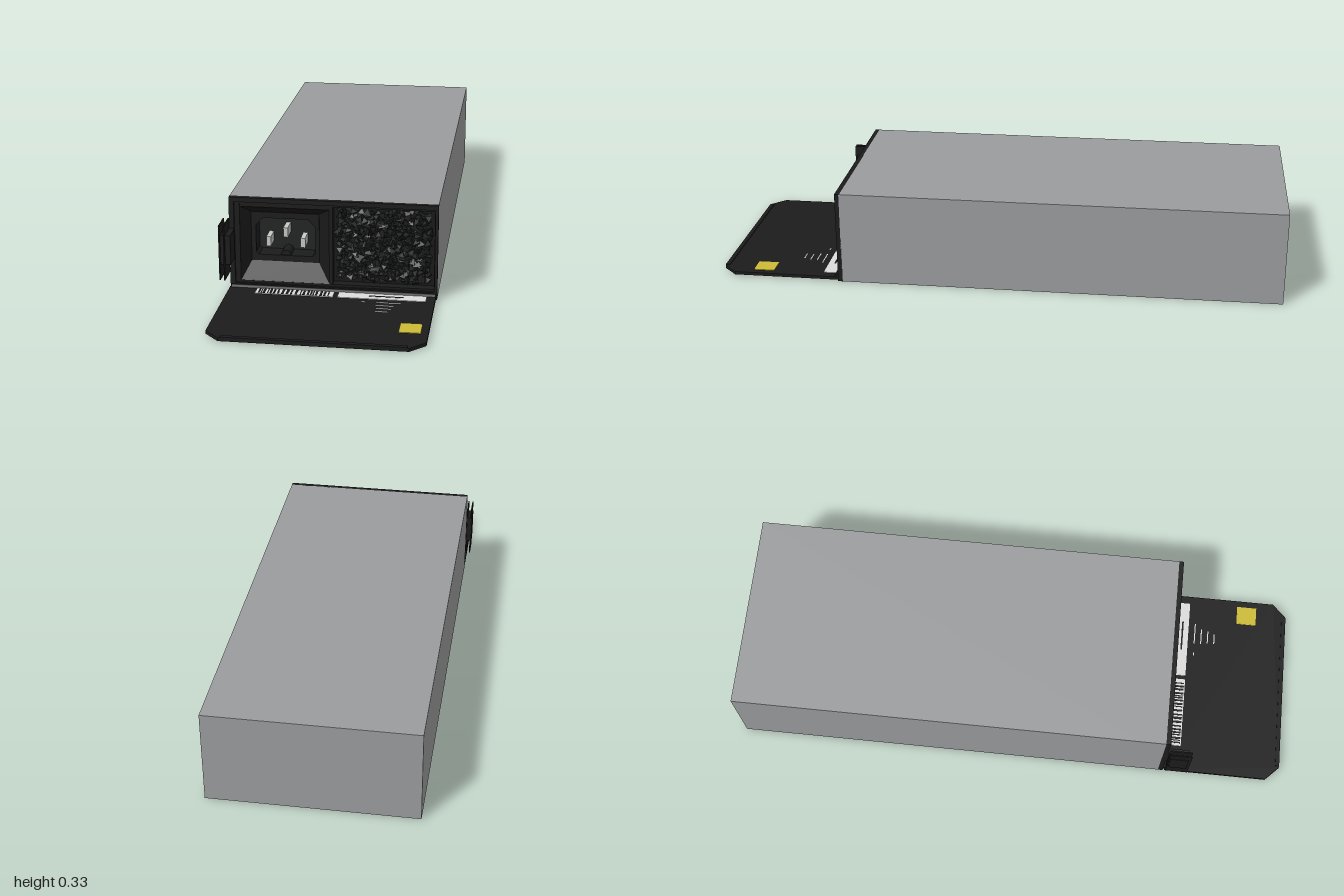
import * as THREE from 'three';
import { mergeGeometries } from 'three/addons/utils/BufferGeometryUtils.js';

const mat = (name, color, side = THREE.FrontSide) => {
  const m = new THREE.MeshStandardMaterial({ color, side });
  m.name = name;
  return m;
};

// Axis-aligned box from its limits
function boxGeo(x0, x1, y0, y1, z0, z1) {
  return new THREE.BoxGeometry(x1 - x0, y1 - y0, z1 - z0)
    .translate((x0 + x1) / 2, (y0 + y1) / 2, (z0 + z1) / 2);
}

// Rectangle outline with optional corner chamfers
function rectPoints(x0, x1, y0, y1, low = 0, high = low) {
  const p = [[x0 + low, y0], [x1 - low, y0], [x1, y0 + low], [x1, y1 - high],
    [x1 - high, y1], [x0 + high, y1], [x0, y1 - high], [x0, y0 + low]];
  return p.map(([x, y]) => new THREE.Vector2(x, y))
    .filter((v, i, a) => i === 0 || !v.equals(a[i - 1]))
    .filter((v, i, a) => i === 0 || i < a.length - 1 || !v.equals(a[0]));
}

// Plate along z with an optional hole
function plateGeo(outer, hole, z0, z1) {
  const shape = new THREE.Shape(outer);
  if (hole) shape.holes.push(new THREE.Path(hole));
  return new THREE.ExtrudeGeometry(shape, { depth: z1 - z0, bevelEnabled: false }).translate(0, 0, z0);
}

// Sloped walls between two outlines with equal point counts
function funnelGeo(a, za, b, zb) {
  const pos = [];
  a.forEach((p, i) => {
    const j = (i + 1) % a.length;
    const q = a[j], r = b[i], s = b[j];
    pos.push(p.x, p.y, za, q.x, q.y, za, s.x, s.y, zb);
    pos.push(p.x, p.y, za, s.x, s.y, zb, r.x, r.y, zb);
  });
  const g = new THREE.BufferGeometry();
  g.setAttribute('position', new THREE.Float32BufferAttribute(pos, 3));
  g.computeVertexNormals();
  return g;
}

export function createModel() {
  const model = new THREE.Group();
  model.name = 'powerSupply';
  const grey = mat('casing grey', 0x9b9c9e);
  const black = mat('plastic black', 0x1c1c1c);
  const dark = mat('recess black', 0x191919, THREE.DoubleSide);
  const charcoal = mat('grille charcoal', 0x232424);
  const silver = mat('pin silver', 0xc8c8c4);
  const white = mat('label white', 0xdcdcdc);
  const yellow = mat('sticker yellow', 0xcdbb36);
  const add = (name, geo, material, parent = model) => {
    const m = new THREE.Mesh(geo, material);
    m.name = name;
    parent.add(m);
    return m;
  };
  const L = -0.345, R = 0.36, H = 0.333;

  // Casing: closed rear body and open front sleeve
  add('casing', boxGeo(L, R, 0, H, -1, 0.46), grey);
  add('frontSleeve', plateGeo(rectPoints(L, R, 0, H), rectPoints(-0.335, 0.35, 0.012, 0.322), 0.46, 0.555), grey);

  // Stepped black bezel
  const bezel = new THREE.Group();
  bezel.name = 'bezel';
  model.add(bezel);
  add('outerFrame', plateGeo(rectPoints(L, R, 0, H), rectPoints(-0.328, 0.35, 0.026, 0.317), 0.553, 0.57), black, bezel);
  add('innerFrame', plateGeo(rectPoints(-0.34, 0.355, 0.01, 0.325), rectPoints(-0.31, 0.348, 0.034, 0.31), 0.46, 0.562), black, bezel);
  add('divider', boxGeo(-0.006, 0.006, 0.03, 0.312, 0.47, 0.561), black, bezel);
  add('socketTopEdge', boxGeo(-0.312, 0, 0.299, 0.314, 0.47, 0.561), black, bezel);

  // Power inlet with funnel surround, cavity, key and three pins
  const inlet = new THREE.Group();
  inlet.name = 'powerInlet';
  model.add(inlet);
  add('inletFunnel', funnelGeo(rectPoints(-0.31, -0.005, 0.034, 0.3), 0.561,
    rectPoints(-0.277, -0.044, 0.097, 0.272), 0.53), dark, inlet);
  add('inletPlate', plateGeo(rectPoints(-0.277, -0.044, 0.097, 0.272),
    rectPoints(-0.261, -0.058, 0.119, 0.251, 0.01, 0.026), 0.465, 0.532), black, inlet);
  add('inletBack', boxGeo(-0.27, -0.05, 0.11, 0.26, 0.461, 0.468), charcoal, inlet);
  const key = new THREE.CylinderGeometry(0.018, 0.018, 0.06, 20).rotateX(Math.PI / 2).translate(-0.16, 0.118, 0.497);
  add('inletKey', key, black, inlet);
  for (const [x, y] of [[-0.219, 0.165], [-0.16, 0.2], [-0.101, 0.165]]) {
    add('pin', boxGeo(x - 0.008, x + 0.008, y - 0.017, y + 0.017, 0.467, 0.527), silver, inlet);
  }

  // Vent filled with a rough mass of small angular pieces
  const vent = new THREE.Group();
  vent.name = 'vent';
  model.add(vent);
  add('ventBack', boxGeo(0, 0.352, 0.03, 0.314, 0.5, 0.53), dark, vent);
  let seed = 17;
  const rand = () => (seed = (seed * 16807) % 2147483647) / 2147483647;
  const shards = [];
  const cols = 22, rows = 17;
  for (let i = 0; i < cols; i++) {
    for (let j = 0; j < rows; j++) {
      const g = new THREE.TetrahedronGeometry(0.011 + rand() * 0.008);
      g.rotateX(rand() * 6.28).rotateY(rand() * 6.28).rotateZ(rand() * 6.28);
      g.translate(0.02 + (i + rand() * 0.8) * 0.315 / cols, 0.05 + (j + rand() * 0.8) * 0.25 / rows, 0.535 + rand() * 0.012);
      shards.push(g);
    }
  }
  add('ventTexture', mergeGeometries(shards), charcoal, vent);

  // Side latch: a block between two thin upright plates
  const latch = new THREE.Group();
  latch.name = 'latch';
  model.add(latch);
  for (const x of [-0.364, -0.348]) {
    add('latchPlate', boxGeo(x, x + 0.004, 0.067, 0.26, 0.575, 0.655), black, latch);
  }
  add('latchBlock', boxGeo(-0.366, -0.326, 0.12, 0.223, 0.58, 0.645), black, latch);
  add('latchArm', boxGeo(-0.344, -0.328, 0.12, 0.223, 0.555, 0.6), black, latch);

  // Folded-down cover with clipped front corners and a hinge
  const cover = new THREE.Group();
  cover.name = 'cover';
  model.add(cover);
  const slab = plateGeo(rectPoints(L, 0.357, -1, -0.575, 0.05, 0), null, 0, 0.011);
  add('coverPanel', slab.rotateX(-Math.PI / 2).translate(0, 0.004, 0), black, cover);
  const hinge = new THREE.CylinderGeometry(0.01, 0.01, R - L - 0.01, 14).rotateZ(Math.PI / 2).translate(0.0075, 0.013, 0.575);
  add('hinge', hinge, black, cover);
  add('frontLip', boxGeo(-0.29, 0.302, 0.004, 0.018, 0.985, 1), black, cover);

  // Labels on the cover
  const top = 0.015;
  add('barcodeLabel', boxGeo(-0.25, 0.015, top, top + 0.002, 0.585, 0.63), white, cover);
  add('plainLabel', boxGeo(0.03, 0.327, top, top + 0.002, 0.585, 0.63), white, cover);
  add('yellowSticker', boxGeo(0.262, 0.333, top, top + 0.002, 0.812, 0.886), yellow, cover);
  const bars = [];
  for (let x = -0.24; x < 0.0;) {
    const w = 0.003 + rand() * 0.006;
    bars.push(boxGeo(x, x + w, top + 0.002, top + 0.003, 0.588, 0.627));
    x += w + 0.003 + rand() * 0.007;
  }
  add('bars', mergeGeometries(bars), black, cover);
  const dashes = [];
  for (const [x, z, w] of [[0.115, 0.655, 0.012], [0.165, 0.655, 0.08], [0.165, 0.68, 0.06], [0.17, 0.705, 0.05], [0.17, 0.73, 0.04]]) {
    dashes.push(boxGeo(x, x + w, top, top + 0.001, z - 0.002, z + 0.002));
  }
  add('printMarks', mergeGeometries(dashes), white, cover);
  add('labelMark', boxGeo(0.135, 0.25, top + 0.002, top + 0.003, 0.604, 0.61), black, cover);

  return model;
}
